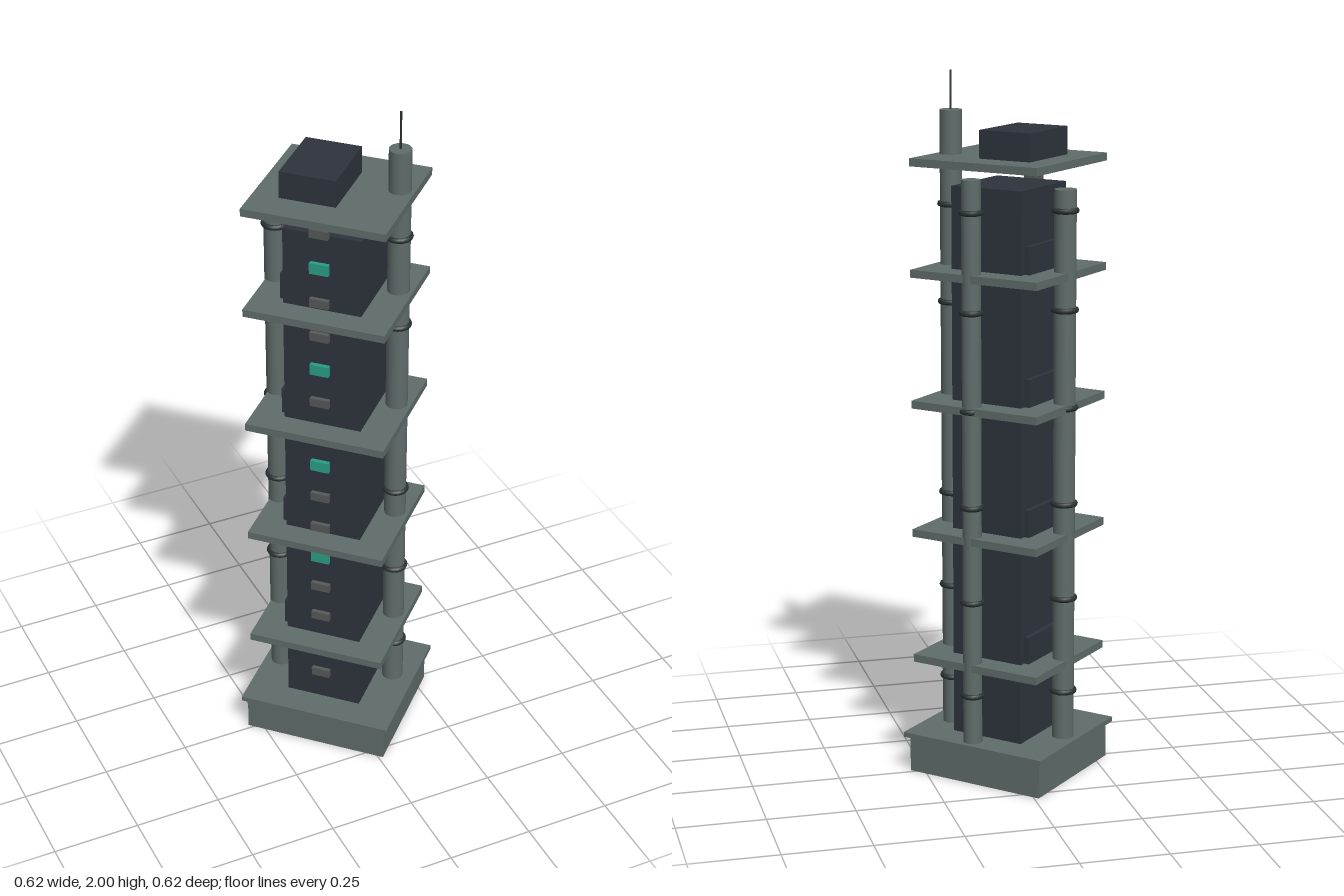
import * as THREE from 'three';

const mat = (name, color) => {
  const m = new THREE.MeshStandardMaterial({ color });
  m.name = name;
  return m;
};

export function createModel() {
  const deckGrey = mat('deckGrey', 0x5f6c6a);
  const coreDark = mat('coreDark', 0x2e343c);
  const bandDark = mat('bandDark', 0x2b3233);
  const slotGrey = mat('slotGrey', 0x555957);
  const lampTeal = mat('lampTeal', 0x2a9d84);

  const model = new THREE.Group();
  model.name = 'tower';
  // The whole plan is turned an eighth of a circle
  const tower = new THREE.Group();
  tower.name = 'turnedTower';
  tower.rotation.y = Math.PI / 4;
  model.add(tower);

  const add = (name, geo, material, x, y, z) => {
    const mesh = new THREE.Mesh(geo, material);
    mesh.name = name;
    mesh.position.set(x, y, z);
    tower.add(mesh);
    return mesh;
  };
  // Box given by its bottom and top heights
  const box = (name, w, d, y0, y1, material, x = 0, z = 0) =>
    add(name, new THREE.BoxGeometry(w, y1 - y0, d), material, x, (y0 + y1) / 2, z);

  // Base
  box('plinth', 0.391, 0.426, 0, 0.104, deckGrey);
  box('plinthCap', 0.419, 0.454, 0.104, 0.118, deckGrey);

  // Core shaft
  box('core', 0.244, 0.222, 0.118, 1.693, coreDark);

  // Decks, each with a service box standing on it
  for (const y of [0.342, 0.712, 1.083, 1.452, 1.759]) {
    box('deck', 0.386, 0.402, y - 0.011, y + 0.011, deckGrey);
    box('serviceBox', 0.206, 0.159, y + 0.011, y + 0.089, coreDark, 0, -0.047);
  }

  // Pipes with clamp rings
  const pipes = [
    { x: 0.046, z: 0.159, r: 0.031, top: 1.892 },
    { x: 0.169, z: 0.019, r: 0.027, top: 1.722 },
    { x: 0, z: -0.179, r: 0.031, top: 1.69 },
  ];
  for (const { x, z, r, top } of pipes) {
    const h = top - 0.118;
    add('pipe', new THREE.CylinderGeometry(r, r, h, 20), deckGrey, x, 0.118 + h / 2, z);
    for (let i = 0; i < 6; i++) {
      const ring = add('clampRing', new THREE.TorusGeometry(r, 0.008, 8, 20), bandDark, x, 0.257 + i * 0.275, z);
      ring.rotation.x = Math.PI / 2;
    }
  }

  // Antenna on the tall pipe
  add('antenna', new THREE.CylinderGeometry(0.003, 0.003, 0.108, 8), bandDark, 0.046, 1.946, 0.159);

  // Column of slots, every third one lit
  for (let i = 0; i < 15; i++) {
    const y = 0.214 + i * 0.106;
    const lit = i % 3 === 1;
    const h = lit ? 0.032 : 0.025;
    box(lit ? 'lamp' : 'slot', 0.014, 0.054, y - h / 2, y + h / 2, lit ? lampTeal : slotGrey, -0.128, -0.005);
  }

  return model;
}
